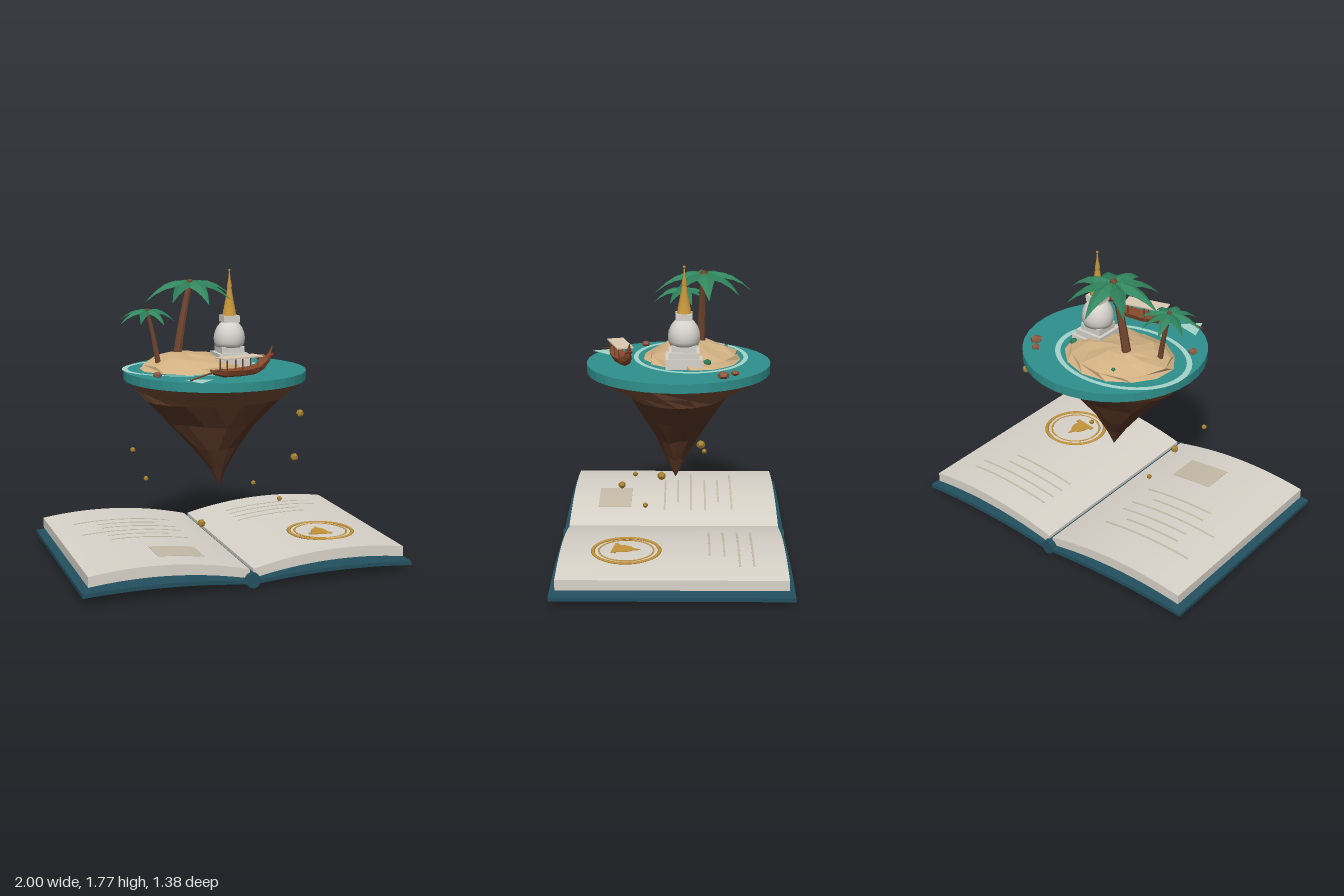
import * as THREE from 'three';

const TEAL = 0x23505f, PAPER = 0xd9d4ca, INK = 0xc6bca9, GOLD = 0xc4943a, WATER = 0x2f918e,
  FOAM = 0xa6d4cb, ROCK = 0x7b5038, ROCK_DARK = 0x5c3827, SAND = 0xd1b082, STONE = 0xd6d3cc,
  TRUNK = 0x70462f, LEAF = 0x2c7c57, HULL = 0x8a4a2c, CANVAS = 0xdccbb2;

function add(parent, name, geo, color, { pos = [0, 0, 0], flat = false, double = false } = {}) {
  const mat = new THREE.MeshStandardMaterial({ color, flatShading: flat, side: double ? THREE.DoubleSide : THREE.FrontSide });
  const m = new THREE.Mesh(geo, mat);
  m.name = name;
  m.position.set(...pos);
  parent.add(m);
  return m;
}

function group(parent, name, pos = [0, 0, 0]) {
  const g = new THREE.Group();
  g.name = name;
  g.position.set(...pos);
  parent.add(g);
  return g;
}

function indexed(pos, idx) {
  const g = new THREE.BufferGeometry();
  g.setAttribute('position', new THREE.Float32BufferAttribute(pos, 3));
  g.setIndex(idx);
  g.computeVertexNormals();
  return g;
}

// Joins loops of n points into a skin
function skin(loops) {
  const n = loops[0].length, idx = [];
  for (let i = 0; i < loops.length - 1; i++)
    for (let j = 0; j < n; j++) {
      const a = i * n + j, b = i * n + (j + 1) % n;
      idx.push(a, a + n, b + n, a, b + n, b);
    }
  return indexed(loops.flat(2), idx);
}

let seed = 7;
const rnd = () => (seed = (seed * 16807) % 2147483647) / 2147483647 - 0.5;

// Faceted lump from rings [y, rx, rz, cx, cz, twist, jitter], lowest first
const lump = (rings, n) => skin(rings.map(([y, rx, rz, cx, cz, twist = 0, jit = 0]) =>
  Array.from({ length: n }, (_, j) => {
    const a = (j / n) * Math.PI * 2 + twist, k = 1 + rnd() * jit;
    return [cx + rx * k * Math.cos(a), y + rnd() * jit * 0.15, cz + rz * k * Math.sin(a)];
  })));

const hump = (peak, k) => x => peak - k * (Math.abs(x) - 0.6) ** 2;
const pageTop = hump(0.185, 0.22), pageBottom = hump(0.12, 0.19);
const coverTop = hump(0.086, 0.1), coverBottom = hump(0.062, 0.1);

// Slab with curved top and bottom, extruded along z
function slab(x0, x1, bottom, top, depth) {
  const N = 16, lo = [], hi = [];
  for (let i = 0; i <= N; i++) {
    const x = x0 + (x1 - x0) * i / N;
    lo.push(new THREE.Vector2(x, bottom(x)));
    hi.unshift(new THREE.Vector2(x, top(x)));
  }
  return new THREE.ExtrudeGeometry(new THREE.Shape([...lo, ...hi]), { depth, bevelEnabled: false }).translate(0, 0, -depth / 2);
}

function buildBook(root) {
  const book = group(root, 'book');
  const spine = add(book, 'spine', new THREE.CylinderGeometry(0.045, 0.045, 1.38, 10), TEAL, { pos: [0, 0.048, 0] });
  spine.rotation.x = Math.PI / 2;
  for (const s of [-1, 1]) {
    const side = s > 0 ? 'left' : 'right', [a, b] = s > 0 ? [0.012, 0.96] : [-0.96, -0.012];
    add(book, side + 'Cover', slab(s > 0 ? 0.01 : -1, s > 0 ? 1 : -0.01, coverBottom, coverTop, 1.38), TEAL);
    add(book, side + 'Pages', slab(a, b, pageBottom, pageTop, 1.31), PAPER);
  }
  // Ruled lines and a picture patch, following the page curve
  const strip = (name, x0, x1, z, d) =>
    add(book, name, slab(x0, x1, x => pageTop(x) - 0.002, x => pageTop(x) + 0.002, d), INK, { pos: [0, 0, z] });
  [-0.37, -0.285, -0.2, -0.11, -0.025, 0.06].forEach((z, i) => strip('pageLine', [-0.82, -0.68, -0.68][i % 3], i % 3 === 1 ? -0.3 : -0.2, z, 0.012));
  [-0.465, -0.385, -0.3, -0.215].forEach((z, i) => strip('pageLine', 0.22, i < 2 ? 0.81 : 0.67, z, 0.012));
  strip('picturePatch', -0.51, -0.23, 0.38, 0.21);

  // Gold medallion with a shrine silhouette
  const medal = group(book, 'medallion', [0.585, 0.184, 0.27]);
  for (const [r, t] of [[0.195, 0.012], [0.16, 0.006]])
    add(medal, 'medallionRing', new THREE.TorusGeometry(r, t, 6, 40).rotateX(Math.PI / 2).scale(1, 0.5, 1), GOLD);
  const half = [[0.072, -0.08], [0.072, -0.055], [0.052, -0.05], [0.048, -0.01], [0.035, 0.022], [0.014, 0.04], [0, 0.085]];
  const pts = [...half, ...half.slice(0, -1).reverse().map(([x, y]) => [-x, y])].map(p => new THREE.Vector2(...p));
  const sil = add(medal, 'shrineSilhouette', new THREE.ExtrudeGeometry(new THREE.Shape(pts), { depth: 0.006, bevelEnabled: false }).rotateX(-Math.PI / 2), GOLD, { pos: [-0.015, 0, 0] });
  sil.rotation.y = -0.15;
}

function buildPalm(parent, base, top, length, count, turn) {
  const palm = group(parent, 'palm');
  const [p, q] = [new THREE.Vector3(...base), new THREE.Vector3(...top)];
  const mid = p.clone().lerp(q, 0.5);
  mid.x += (p.x - q.x) * 0.15 ;
  const curve = new THREE.QuadraticBezierCurve3(p, mid, q);
  // Trunk tapers towards the crown
  const r = length * 0.1;
  add(palm, 'trunk', skin(Array.from({ length: 8 }, (_, i) => {
    const c = curve.getPoint(i / 7), k = r * (1 - 0.35 * i / 7);
    return Array.from({ length: 8 }, (_, j) => [c.x + k * Math.cos(j * Math.PI / 4), c.y, c.z + k * Math.sin(j * Math.PI / 4)]);
  })), TRUNK, { flat: true });
  add(palm, 'crownHeart', new THREE.IcosahedronGeometry(r * 0.9, 0), TRUNK, { pos: top, flat: true });
  // Each frond is a folded strip: left edge, ridge, right edge
  const widths = [0.05, 0.15, 0.18, 0.13, 0.07, 0.004], pos = [], idx = [];
  widths.forEach((w, i) => {
    const t = i / 5, y = 0.35 * t - 0.72 * t * t;
    for (const s of [-1, 0, 1]) pos.push(t * length, (y - Math.abs(s) * w * 0.5) * length, s * w * length);
    if (i) for (const k of [0, 1]) {
      const a = (i - 1) * 3 + k, b = a + 3;
      idx.push(a, a + 1, b + 1, a, b + 1, b);
    }
  });
  const frond = indexed(pos, idx);
  for (let i = 0; i < count; i++) {
    const f = add(palm, 'frond', frond, i % 2 ? LEAF : 0x33875f, { pos: top, flat: true, double: true });
    f.rotation.y = turn + (i / count) * Math.PI * 2;
    f.scale.setScalar(i % 2 ? 0.95 : 1.03);
  }
}

function buildShrine(parent) {
  const s = group(parent, 'shrine', [0.105, 0, -0.063]);
  for (const [w, y0, y1] of [[0.22, 1.175, 1.235], [0.185, 1.235, 1.27], [0.145, 1.27, 1.31]])
    add(s, 'plinthStep', new THREE.BoxGeometry(w, y1 - y0, w), STONE, { pos: [0, (y0 + y1) / 2, 0] });
  const lathe = (name, pts, color, n) => add(s, name, new THREE.LatheGeometry(pts.map(p => new THREE.Vector2(...p)), n), color);
  lathe('dome', [[0, 1.305], [0.085, 1.305], [0.094, 1.33], [0.096, 1.36], [0.091, 1.39], [0.079, 1.42], [0.06, 1.445], [0.035, 1.46], [0, 1.465]], STONE, 24);
  add(s, 'domeBlock', new THREE.BoxGeometry(0.1, 0.04, 0.1), STONE, { pos: [0, 1.475, 0] });
  for (let i = 0; i < 6; i++) {
    const r = 0.046 - i * 0.0052;
    add(s, 'spireTier', new THREE.CylinderGeometry(r * 0.78, r, 0.026, 12), GOLD, { pos: [0, 1.508 + i * 0.025, 0] });
  }
  lathe('spire', [[0.018, 1.64], [0.013, 1.66], [0.016, 1.675], [0.008, 1.71], [0.003, 1.76]], GOLD, 10);
  add(s, 'finial', new THREE.SphereGeometry(0.008, 8, 6), GOLD, { pos: [0, 1.768, 0] });
}

function buildBoat(parent) {
  const boat = group(parent, 'boat', [0.055, 1.178, 0.315]);
  boat.rotation.y = 0.28;
  // Hull sections: [x, half width, keel height, rim height]
  const loops = [[-0.225, 0.001, 0.05, 0.06], [-0.2, 0.02, 0.025, 0.052], [-0.13, 0.043, 0.004, 0.045], [0, 0.052, 0, 0.042], [0.1, 0.042, 0.004, 0.05],
    [0.16, 0.024, 0.03, 0.08], [0.2, 0.012, 0.07, 0.12], [0.22, 0.003, 0.14, 0.165]].map(([x, w, k, r]) =>
    [[x, r, w], [x, k + (r - k) * 0.3, w * 0.75], [x, k, 0], [x, k + (r - k) * 0.3, -w * 0.75], [x, r, -w]]);
  add(boat, 'hull', skin(loops), HULL, { flat: true, double: true });
  add(boat, 'canopy', new THREE.BoxGeometry(0.27, 0.008, 0.1), CANVAS, { pos: [-0.02, 0.115, 0] });
  for (const x of [-0.13, -0.02, 0.09]) for (const z of [-0.036, 0.036])
    add(boat, 'canopyPost', new THREE.CylinderGeometry(0.004, 0.004, 0.08, 6), TRUNK, { pos: [x, 0.075, z] });
  const band = add(boat, 'bowGarland', new THREE.TorusGeometry(0.016, 0.006, 6, 12), 0x9c3328, { pos: [0.204, 0.11, 0] });
  band.rotation.set(Math.PI / 2, 0.4, 0);
  // Steering oar trailing from the stern
  const oar = new THREE.LineCurve3(new THREE.Vector3(-0.16, 0.06, 0.03), new THREE.Vector3(-0.38, 0.01, 0.025));
  add(boat, 'steeringOar', new THREE.TubeGeometry(oar, 1, 0.005, 6), TRUNK);
  add(parent, 'wake', indexed([-0.145, 1.181, 0.4, -0.315, 1.181, 0.355, -0.255, 1.181, 0.51], [0, 1, 2]), FOAM, { double: true });
}

function buildIsland(root) {
  const isle = group(root, 'island');
  // Hanging rock in two layers, twisted and tapering to a point
  add(isle, 'lowerRock', lump([[0.45, 0.001, 0.001, 0.025, -0.012], [0.57, 0.06, 0.055, 0.01, -0.01, 0.5, 0.2], [0.7, 0.15, 0.125, 0, -0.02, 0.35, 0.2],
    [0.85, 0.285, 0.21, 0, -0.03, 0.2, 0.12], [1.0, 0.43, 0.31, 0, -0.03]], 14), ROCK_DARK, { flat: true });
  add(isle, 'upperRock', lump([[0.995, 0.43, 0.31, 0, -0.03], [1.06, 0.49, 0.43, 0, -0.03, 0.2, 0.05], [1.125, 0.55, 0.55, 0, -0.03, 0.3]], 18), ROCK, { flat: true });
  add(isle, 'water', new THREE.CylinderGeometry(0.555, 0.555, 0.055, 36), WATER, { pos: [0, 1.1475, -0.03], flat: true });
  const foam = add(isle, 'foamRing', new THREE.RingGeometry(0.92, 1, 48).rotateX(-Math.PI / 2), FOAM, { pos: [-0.12, 1.179, -0.105], double: true });
  foam.scale.set(0.435, 1, 0.35);
  add(isle, 'sandMound', lump([[1.172, 0.34, 0.3, -0.1, -0.11, 0, 0.08], [1.205, 0.31, 0.26, -0.11, -0.12, 0.2, 0.1], [1.245, 0.21, 0.18, -0.13, -0.13, 0.1, 0.12],
    [1.265, 0.1, 0.09, -0.15, -0.14, 0.3, 0.1], [1.272, 0.001, 0.001, -0.15, -0.14]], 13), SAND, { flat: true });
  buildPalm(isle, [-0.2, 1.22, -0.165], [-0.11, 1.69, -0.18], 0.285, 8, 0.1);
  buildPalm(isle, [-0.345, 1.18, -0.05], [-0.415, 1.54, -0.055], 0.18, 8, 0.3);
  buildShrine(isle);
  buildBoat(isle);
  for (const [x, z, r] of [[0.4, -0.29, 0.036], [0.34, -0.36, 0.025], [-0.42, 0.18, 0.028]])
    add(isle, 'shoreRock', new THREE.DodecahedronGeometry(r, 0).scale(1, 0.7, 1), 0x8c5a42, { pos: [x, 1.188, z], flat: true });
  for (const [x, y, z, r] of [[0.18, 1.21, -0.2, 0.025], [-0.22, 1.22, -0.32, 0.014]])
    add(isle, 'shrub', new THREE.IcosahedronGeometry(r, 0), LEAF, { pos: [x, y, z], flat: true });
}

export function createModel() {
  const root = new THREE.Group();
  root.name = 'floatingIslandBook';
  buildBook(root);
  buildIsland(root);
  // Gold fragments floating between book and island
  for (const [x, y, z, r] of [[-0.56, 0.74, 0.125, 0.016], [-0.395, 0.48, -0.195, 0.016], [-0.2, 0.315, 0.33, 0.024], [0.16, 0.51, 0.23, 0.015],
    [0.355, 0.38, 0.165, 0.016], [0.49, 0.61, 0.065, 0.025], [0.615, 0.84, -0.16, 0.025]])
    add(root, 'floatingFragment', new THREE.DodecahedronGeometry(r, 0), 0xa8822f, { pos: [x, y, z], flat: true });
  return root;
}
